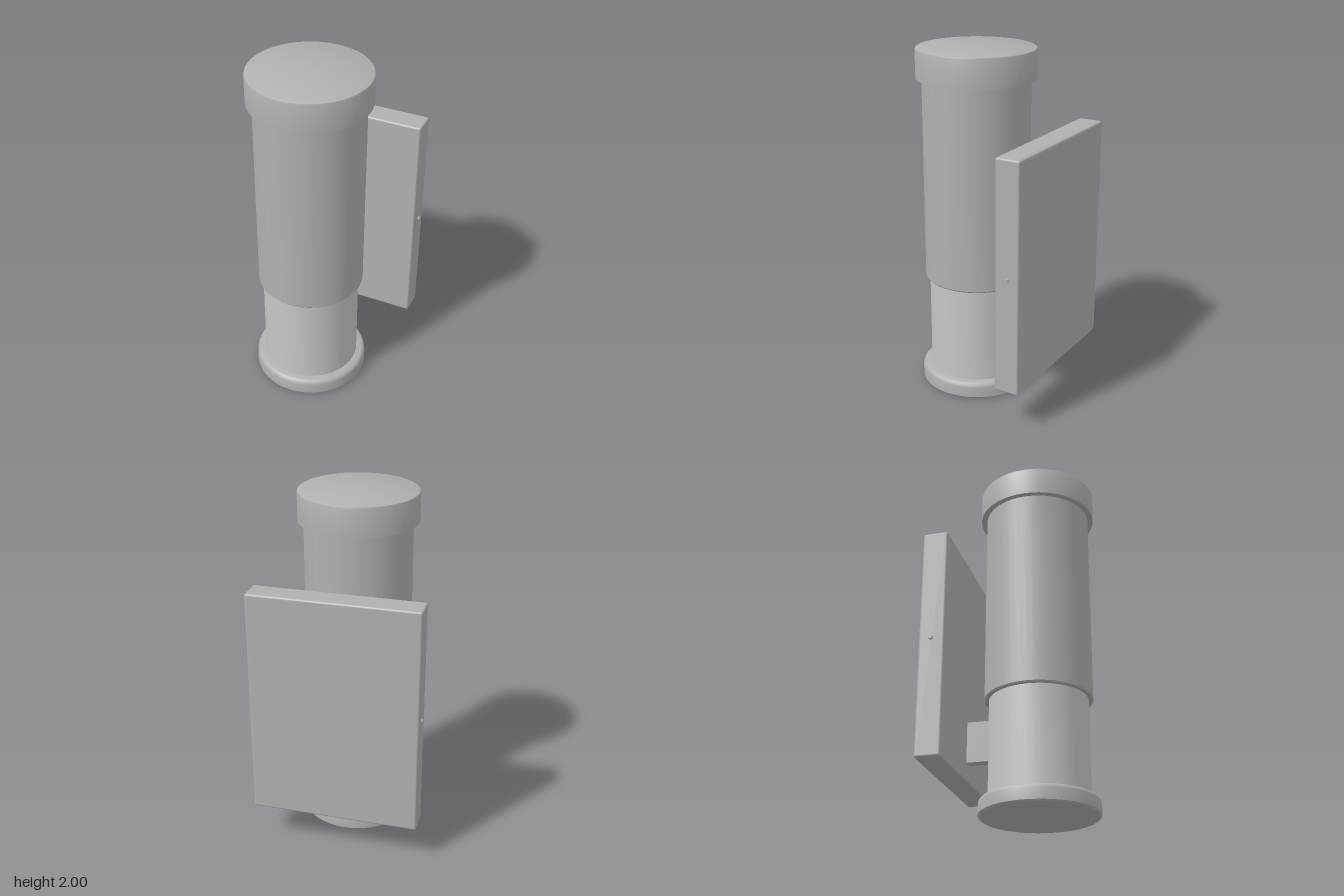
import * as THREE from 'three';
import { toCreasedNormals } from 'three/addons/utils/BufferGeometryUtils.js';
import { RoundedBoxGeometry } from 'three/addons/geometries/RoundedBoxGeometry.js';

const AXIS_Z = 0.105; // centre line of the lamp tube

export function createModel() {
  const group = new THREE.Group();
  const metal = new THREE.MeshStandardMaterial({ color: 0xb0b0b0 });
  metal.name = 'satin metal';
  const frosted = new THREE.MeshStandardMaterial({ color: 0xc6c6c6 });
  frosted.name = 'frosted glass';

  const add = (name, geometry, material, x, y, z) => {
    const mesh = new THREE.Mesh(geometry, material);
    mesh.name = name;
    mesh.position.set(x, y, z);
    group.add(mesh);
    return mesh;
  };
  // Profile of [radius, height] pairs, listed from bottom to top
  const turned = (name, profile, material) => {
    const points = profile.map(([r, y]) => new THREE.Vector2(r, y));
    const geometry = toCreasedNormals(new THREE.LatheGeometry(points, 48), 0.6);
    return add(name, geometry, material, 0, 0, AXIS_Z);
  };

  // Lamp column, bottom to top
  turned('baseRing', [
    [0, 0], [0.322, 0], [0.331, 0.009], [0.331, 0.07], [0.327, 0.085],
    [0.318, 0.094], [0.305, 0.098], [0, 0.098],
  ], metal);
  turned('glassDiffuser', [[0.279, 0.09], [0.279, 0.67]], frosted);
  turned('bodyTube', [
    [0.27, 0.66], [0.298, 0.66], [0.304, 0.667], [0.304, 1.84],
  ], metal);
  turned('topCap', [
    [0, 1.83], [0.337, 1.83], [0.337, 1.988], [0.334, 1.996], [0.326, 2], [0, 2],
  ], metal);

  // Wall plate and the arm that carries the column
  add('wallPlate', new RoundedBoxGeometry(0.956, 1.326, 0.144, 3, 0.012), metal, 0, 0.888, -0.373);
  add('mountingArm', new THREE.BoxGeometry(0.06, 0.235, 0.16), metal, 0, 0.447, -0.232);

  // Small screws on the plate's sides
  for (const side of [-1, 1]) {
    const screw = add(side > 0 ? 'leftScrew' : 'rightScrew',
      new THREE.CylinderGeometry(0.009, 0.014, 0.012, 16), metal, side * 0.481, 0.895, -0.376);
    screw.rotation.z = -side * Math.PI / 2;
  }
  return group;
}
